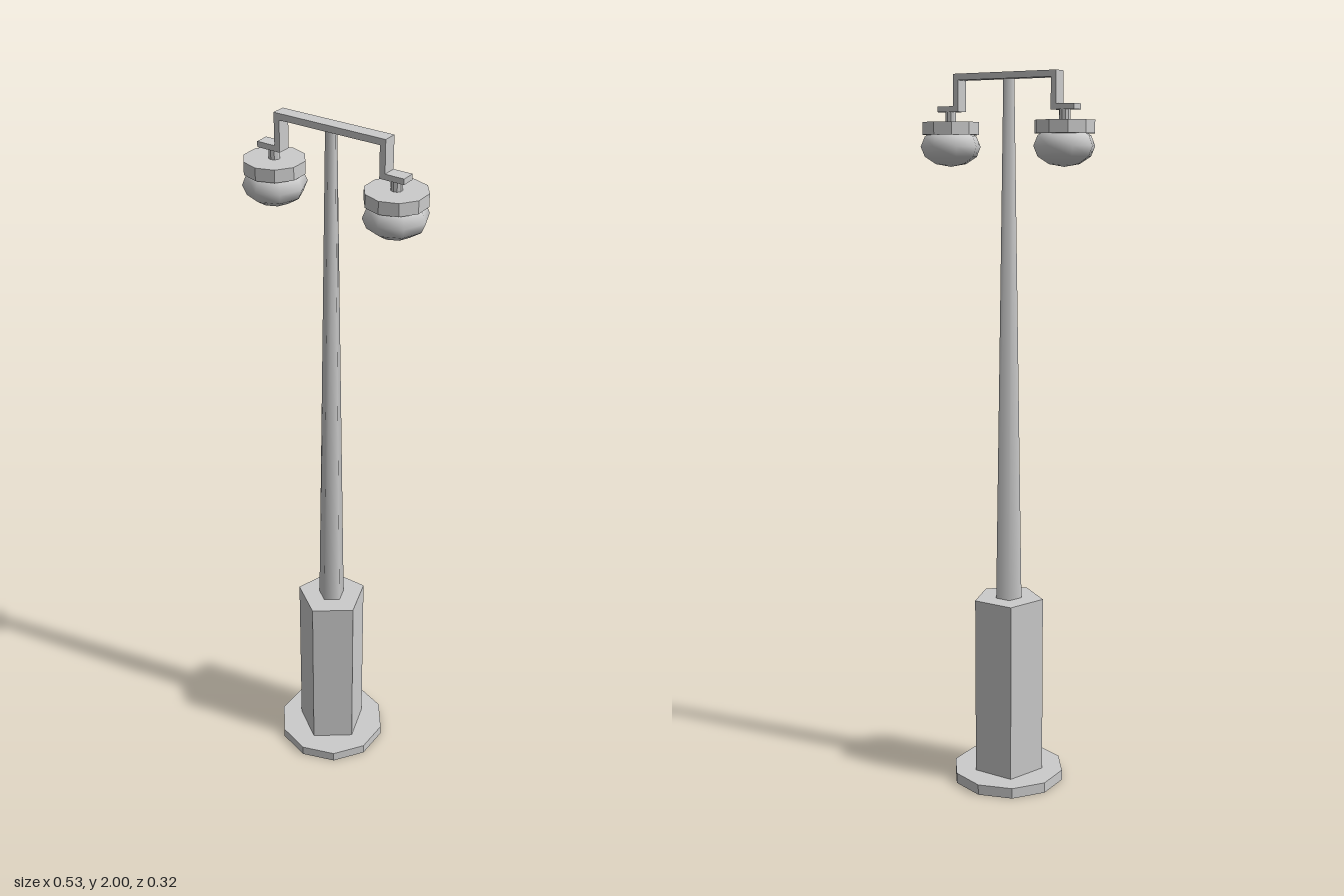
import * as THREE from 'three';

const flat = new THREE.MeshStandardMaterial({ color: 0xcccccc, flatShading: true });
const smooth = new THREE.MeshStandardMaterial({ color: 0xcccccc });

export function createModel() {
  const model = new THREE.Group();
  model.name = 'streetLamp';

  const add = (parent, name, geometry, material, x, y, z) => {
    const mesh = new THREE.Mesh(geometry, material);
    mesh.name = name;
    mesh.position.set(x, y, z);
    parent.add(mesh);
    return mesh;
  };
  // Upright prism or taper between two heights
  const column = (parent, name, rTop, rBottom, y0, y1, sides, x, z, material = flat) =>
    add(parent, name, new THREE.CylinderGeometry(rTop, rBottom, y1 - y0, sides), material, x, (y0 + y1) / 2, z);
  // Box between two heights
  const bar = (parent, name, width, y0, y1, x) =>
    add(parent, name, new THREE.BoxGeometry(width, y1 - y0, 0.038), flat, x, (y0 + y1) / 2, -0.001);

  // Foot, pedestal and tapered pole
  const postX = -0.007;
  column(model, 'basePlate', 0.161, 0.161, 0, 0.03, 10, postX, -0.001);
  column(model, 'pedestal', 0.1015, 0.1015, 0.03, 0.545, 5, postX, -0.001);
  column(model, 'pole', 0.0155, 0.038, 0.545, 1.985, 5, postX, 0, smooth);

  // Cross arm
  const armX = -0.003;
  bar(model, 'crossArm', 0.323, 1.983, 2, armX);

  // Hanging lamp on each side
  for (const side of [1, -1]) {
    const lamp = new THREE.Group();
    lamp.name = side > 0 ? 'leftLamp' : 'rightLamp';
    model.add(lamp);

    bar(lamp, 'dropBar', 0.016, 1.915, 1.983, armX + side * 0.1535);
    bar(lamp, 'bracket', 0.069, 1.9, 1.915, armX + side * 0.18);

    const x = -0.001 + side * 0.18;
    column(lamp, 'stem', 0.015, 0.015, 1.87, 1.9, 10, x, -0.003);
    column(lamp, 'cap', 0.081, 0.081, 1.839, 1.873, 10, x, -0.003);
    const globe = add(lamp, 'globe', new THREE.SphereGeometry(0.084, 8, 6), smooth, x, 1.807, -0.003);
    globe.scale.y = 0.64;
  }
  return model;
}
